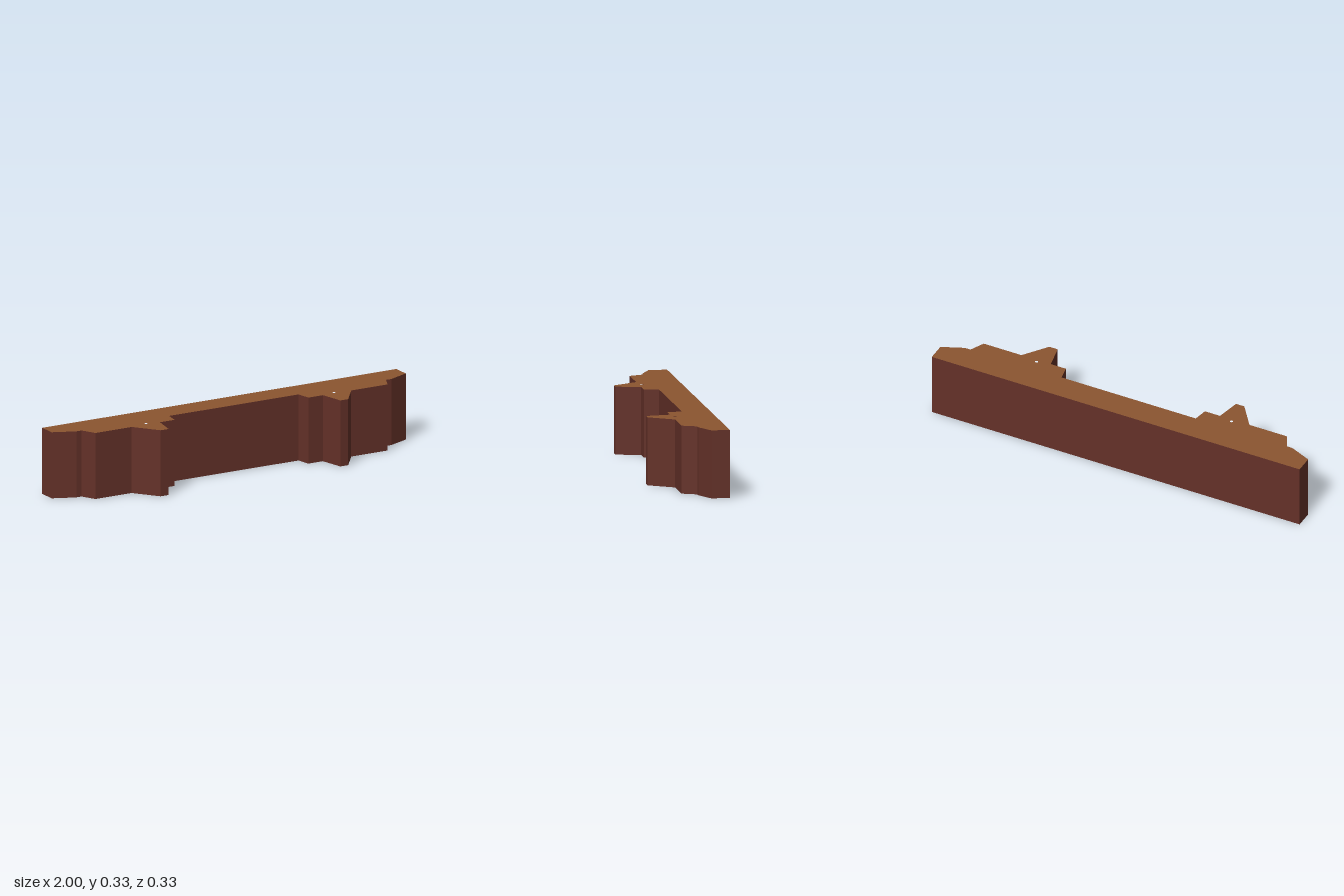
import * as THREE from 'three';

const HEIGHT = 0.333;

// Left half of the plan outline, as [x, z] from the back corner to the middle
const HALF_PLAN = [
  [1, -0.166], [1, -0.075], [0.89, -0.028], [0.86, -0.028], [0.825, 0.044],
  [0.62, 0.044], [0.53, 0.166], [0.485, 0.166], [0.46, 0.044],
  [0.378, 0.044], [0.365, -0.028],
];

export function createModel() {
  const capWood = new THREE.MeshStandardMaterial({ color: 0x8b5530 });
  capWood.name = 'light brown wood';
  const sideWood = new THREE.MeshStandardMaterial({ color: 0x643128 });
  sideWood.name = 'dark red brown wood';

  // Mirrored plan, drawn with shape y = -z
  const mirrored = HALF_PLAN.map(([x, z]) => [-x, z]).reverse();
  const plan = new THREE.Shape(
    [...HALF_PLAN, ...mirrored].map(([x, z]) => new THREE.Vector2(x, -z)));

  // Small pin hole behind each pointed bracket
  for (const side of [-1, 1]) {
    const hole = new THREE.Path();
    hole.absarc(side * 0.53, -0.03, 0.008, 0, Math.PI * 2, true);
    plan.holes.push(hole);
  }

  // Extrude the plan upwards: caps in light wood, walls in dark wood
  const geometry = new THREE.ExtrudeGeometry(plan, {
    depth: HEIGHT, bevelEnabled: false, curveSegments: 4,
  });
  geometry.rotateX(-Math.PI / 2);

  const beam = new THREE.Mesh(geometry, [capWood, sideWood]);
  beam.name = 'profiledBeam';

  const group = new THREE.Group();
  group.name = 'beam';
  group.add(beam);
  return group;
}
